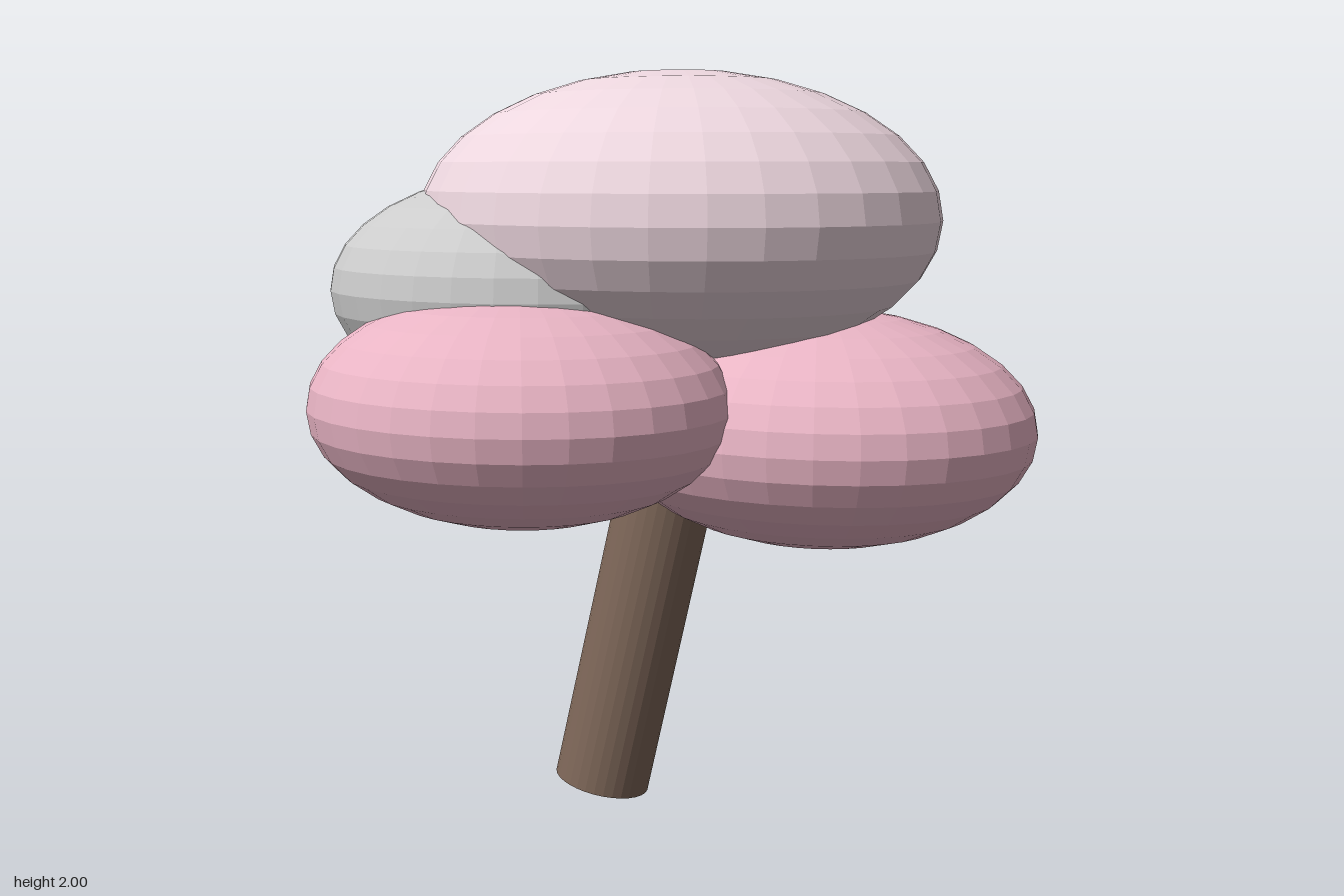
import * as THREE from 'three';

const material = (color) => new THREE.MeshStandardMaterial({ color, flatShading: true });

export function createModel() {
  const tree = new THREE.Group();
  tree.name = 'tree';
  const bark = material(0x7d6658);
  const pink = material(0xe8b4c4);
  const palePink = material(0xecd6de);
  const white = material(0xeeecee);

  // Leaning trunk, its top buried in the foliage
  const foot = new THREE.Vector3(-0.1, 0.028, -0.01);
  const lean = new THREE.Vector3(0.173, 1, -0.125).normalize();
  const length = 1.18;
  const trunk = new THREE.Mesh(new THREE.CylinderGeometry(0.133, 0.133, length, 32), bark);
  trunk.name = 'trunk';
  trunk.quaternion.setFromUnitVectors(new THREE.Vector3(0, 1, 0), lean);
  trunk.position.copy(foot).addScaledVector(lean, length / 2);
  tree.add(trunk);

  // Flattened foliage clumps: name, material, centre, radii
  const clumps = [
    ['crownFoliage', palePink, [0.085, 1.61, -0.11], [0.715, 0.39, 0.66]],
    ['frontFoliage', pink, [0, 1.15, 0.39], [0.562, 0.3, 0.518]],
    ['leftFoliage', pink, [0.405, 1.065, -0.317], [0.59, 0.315, 0.543]],
    ['rightFoliage', palePink, [-0.39, 1.13, -0.347], [0.61, 0.335, 0.563]],
    ['upperFrontFoliage', white, [-0.2, 1.425, 0.146], [0.57, 0.31, 0.525]],
  ];
  const sphere = new THREE.SphereGeometry(1, 32, 16);
  for (const [name, mat, centre, radii] of clumps) {
    const clump = new THREE.Mesh(sphere, mat);
    clump.name = name;
    clump.position.set(...centre);
    clump.scale.set(...radii);
    tree.add(clump);
  }
  return tree;
}
